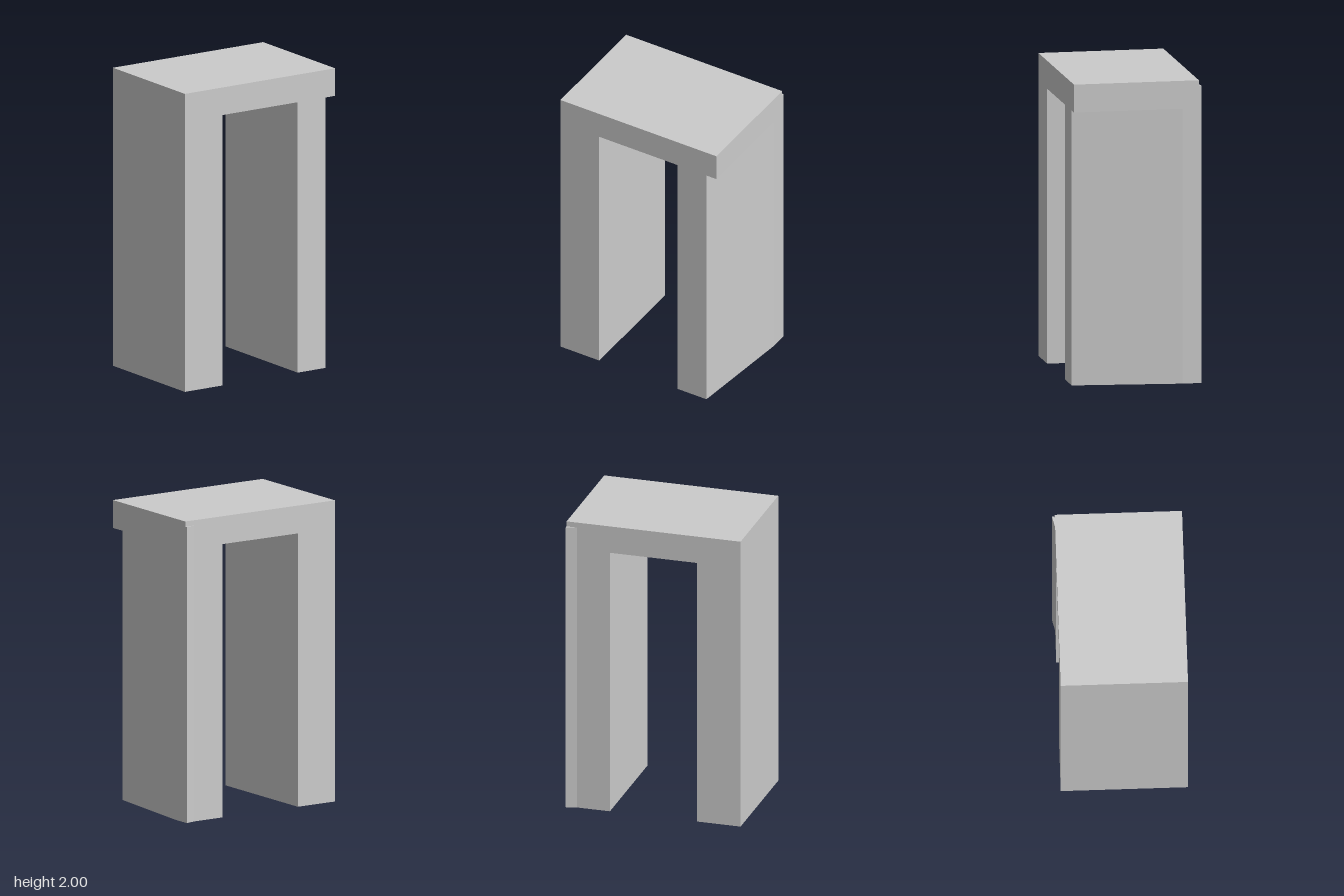
import * as THREE from 'three';

const material = new THREE.MeshStandardMaterial({ color: 0xcccccc, flatShading: true });

// Upright prism from a plan outline of [x, z] points between two heights
function prism(name, plan, y0, y1) {
  const shape = new THREE.Shape(plan.map(([x, z]) => new THREE.Vector2(x, -z)));
  const geometry = new THREE.ExtrudeGeometry(shape, { depth: y1 - y0, bevelEnabled: false });
  geometry.rotateX(-Math.PI / 2).translate(0, y0, 0);
  const mesh = new THREE.Mesh(geometry, material);
  mesh.name = name;
  return mesh;
}

export function createModel() {
  const group = new THREE.Group();
  group.name = 'archway';
  const W = 0.592, inner = 0.297, front = 0.423, back = -0.405;
  const lintelY = 1.815, flareY = 1.965;

  // Straight leg
  group.add(prism('rightLeg', [
    [-W, front], [-inner, front], [-inner, back], [-W, back],
  ], 0, lintelY));

  // Leg with a tapering outer face and a flared back corner
  group.add(prism('leftLeg', [
    [inner, front], [0.517, front], [W, -0.295], [W, -0.423], [0.52, back], [inner, back],
  ], 0, lintelY));

  // Top slab spanning both legs
  group.add(prism('lintel', [
    [-W, front], [W, front], [W, back], [-W, back],
  ], lintelY, 2));

  // The flared corner runs on up the back of the slab
  group.add(prism('cornerFlare', [
    [0.52, back], [W, back], [W, -0.423],
  ], lintelY, flareY));

  return group;
}
